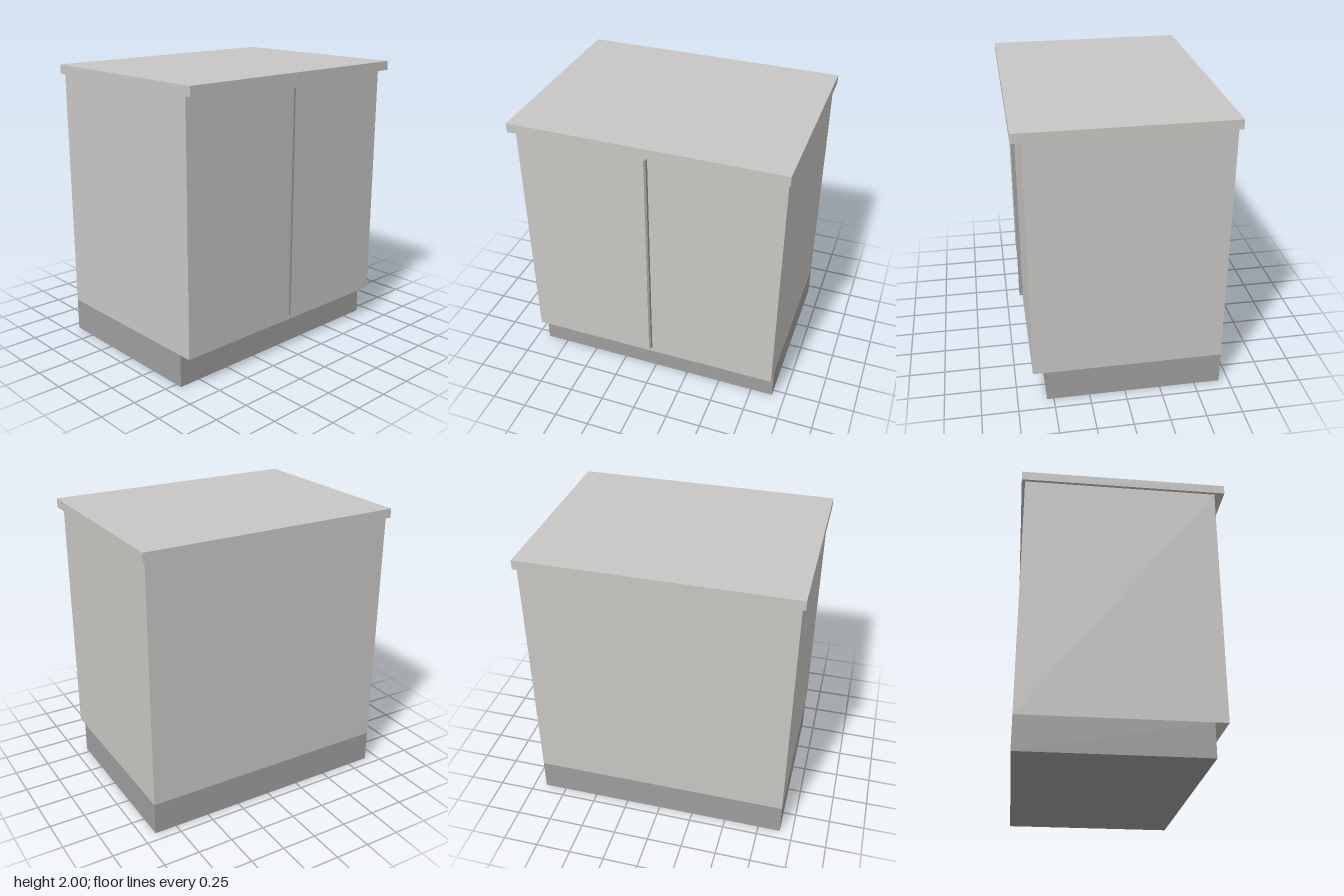
import * as THREE from 'three';

// Box given by its min and max corners
function block(name, material, [x0, y0, z0], [x1, y1, z1]) {
  const mesh = new THREE.Mesh(new THREE.BoxGeometry(x1 - x0, y1 - y0, z1 - z0), material);
  mesh.name = name;
  mesh.position.set((x0 + x1) / 2, (y0 + y1) / 2, (z0 + z1) / 2);
  return mesh;
}

export function createModel() {
  const paint = new THREE.MeshStandardMaterial({ color: 0xc9c7c4 });
  paint.name = 'warm light grey';
  const dark = new THREE.MeshStandardMaterial({ color: 0x9e9e9e });
  dark.name = 'mid grey';

  const cabinet = new THREE.Group();
  cabinet.name = 'cabinet';
  cabinet.add(
    // Plinth, set back at the front as a toe kick
    block('plinth', dark, [-0.909, 0, -0.681], [0.909, 0.23, 0.547]),
    block('body', paint, [-0.909, 0.23, -0.681], [0.909, 1.936, 0.637]),
    // Top overhanging all sides
    block('worktop', paint, [-0.93, 1.936, -0.704], [0.93, 2, 0.704]),
    // Raised strip where the doors meet
    block('doorStrip', dark, [-0.008, 0.275, 0.637], [0.008, 1.89, 0.662]),
  );
  return cabinet;
}
